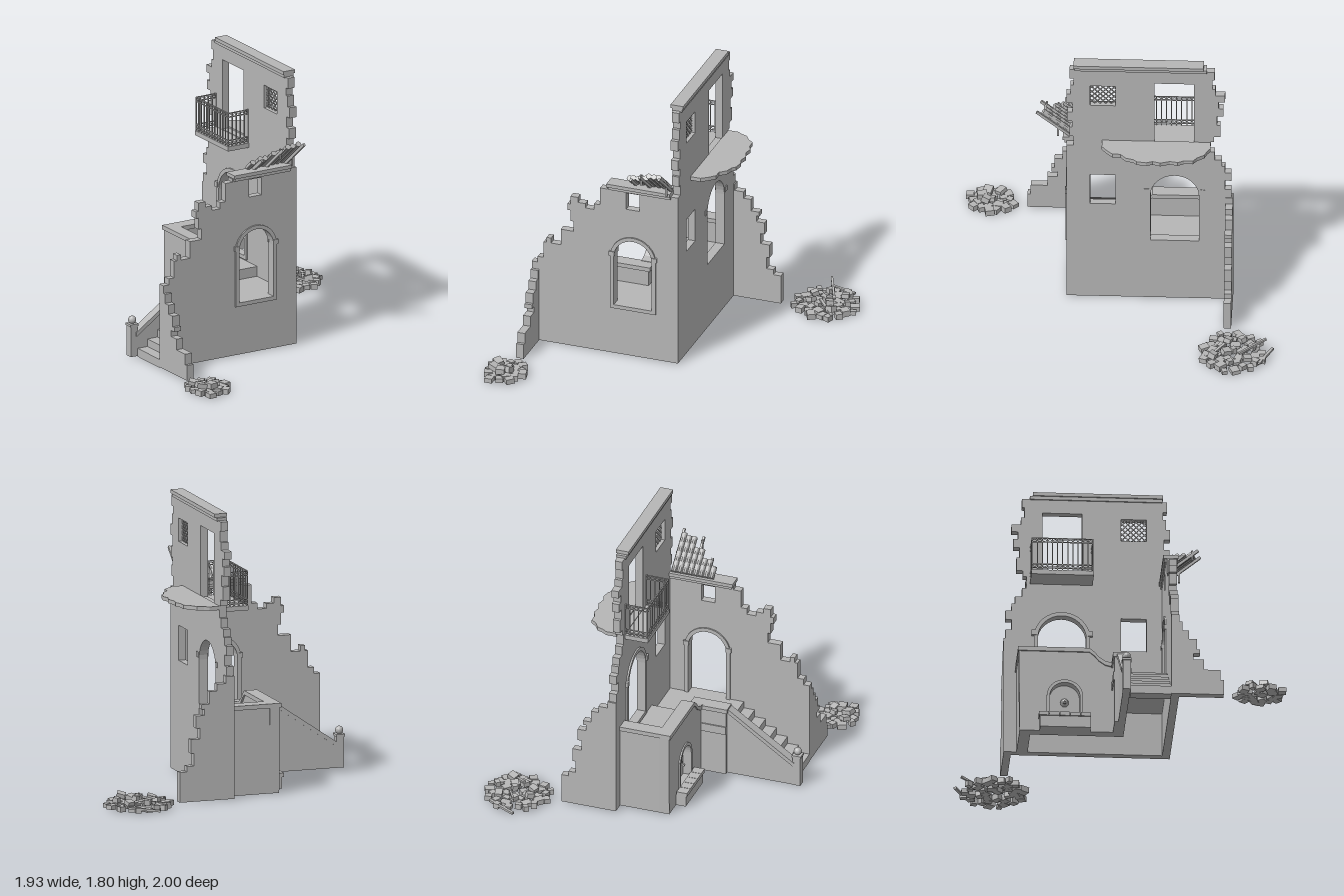
import * as THREE from 'three';

const stone = new THREE.MeshStandardMaterial({ color: 0xb6b6b6 });
stone.name = 'stone grey';
stone.flatShading = true;

export function createModel() {
  const model = new THREE.Group();
  model.name = 'ruinedHouse';
  let seed = 7;
  const rnd = () => (seed = (seed * 16807) % 2147483647) / 2147483647;

  const add = (geo, name, parent = model) => {
    const m = new THREE.Mesh(geo, stone);
    m.name = name;
    parent.add(m);
    return m;
  };
  // box from its minimum and maximum corners
  const box = (name, x0, x1, y0, y1, z0, z1, parent) => {
    const m = add(new THREE.BoxGeometry(x1 - x0, y1 - y0, z1 - z0), name, parent);
    m.position.set((x0 + x1) / 2, (y0 + y1) / 2, (z0 + z1) / 2);
    return m;
  };
  // thin bar between two points
  const bar = (name, a, b, w, h, parent) => {
    const p = new THREE.Vector3(...a), q = new THREE.Vector3(...b);
    const m = add(new THREE.BoxGeometry(w, h, p.distanceTo(q)), name, parent);
    m.position.copy(p).add(q).multiplyScalar(0.5);
    m.lookAt(q);
    return m;
  };
  const poly = pts => new THREE.Shape(pts.map(p => new THREE.Vector2(p[0], p[1])));
  const rect = (a, b, c, d) => poly([[a, c], [b, c], [b, d], [a, d]]);
  const arch = (a, b, bottom, top) => {
    const r = (b - a) / 2, spring = top - r, pts = [[a, bottom], [b, bottom]];
    for (let i = 0; i <= 16; i++) {
      const t = Math.PI * i / 16;
      pts.push([(a + b) / 2 + r * Math.cos(t), spring + r * Math.sin(t)]);
    }
    return poly(pts);
  };
  const extrude = (shape, holes, depth) => {
    shape.holes = holes;
    return new THREE.ExtrudeGeometry(shape, { depth, bevelEnabled: false });
  };
  // walls facing z (shape in x, y) and walls facing x (shape in -z, y)
  const wallZ = (name, shape, holes, z0, z1) =>
    add(extrude(shape, holes, z1 - z0).translate(0, 0, z0), name);
  const wallX = (name, shape, holes, x0, x1) =>
    add(extrude(shape, holes, x1 - x0).rotateY(Math.PI / 2).translate(x0, 0, 0), name);
  const flip = pts => pts.map(([z, y]) => [-z, y]);

  // front wall with broken left slope
  const frontProfile = [[0.1, 0], [0.1, 1.17], [-0.34, 1.17], [-0.34, 1.15], [-0.39, 1.15], [-0.39, 1.03],
    [-0.43, 1.03], [-0.43, 0.99], [-0.49, 0.99], [-0.49, 1.02], [-0.54, 1.02], [-0.54, 1.055], [-0.59, 1.055],
    [-0.59, 1], [-0.61, 1], [-0.61, 0.955], [-0.59, 0.955], [-0.59, 0.88], [-0.57, 0.88], [-0.57, 0.81],
    [-0.655, 0.81], [-0.655, 0.70], [-0.72, 0.70], [-0.72, 0.735], [-0.75, 0.735], [-0.75, 0.70],
    [-0.77, 0.70], [-0.77, 0.59], [-0.81, 0.59], [-0.81, 0.55], [-0.85, 0.55], [-0.85, 0]];
  wallZ('frontWall', poly(frontProfile),
    [arch(-0.295, -0.04, 0.345, 0.812), rect(-0.215, -0.125, 1.03, 1.145)], 0.28, 0.33);
  for (const [z0, z1] of [[0.27, 0.28], [0.33, 0.34]]) {
    wallZ('frontArchTrim', arch(-0.32, -0.015, 0.32, 0.837), [arch(-0.295, -0.04, 0.345, 0.812)], z0, z1);
    for (const x of [-0.31, -0.025]) box('frontArchImpost', x - 0.018, x + 0.018, 0.69, 0.72, z0 - 0.005, z1 + 0.005);
  }
  box('frontCorniceLower', -0.33, 0.085, 1.155, 1.175, 0.27, 0.345);
  box('frontCorniceUpper', -0.34, 0.085, 1.175, 1.198, 0.26, 0.355);

  // tall side wall with broken edges on both ends
  const sideProfile = [[0.33, 0], [0.33, 1.17], [0.285, 1.17], [0.285, 1.24], [0.31, 1.24], [0.31, 1.31],
    [0.295, 1.31], [0.295, 1.36], [0.325, 1.36], [0.325, 1.43], [0.29, 1.43], [0.29, 1.5], [0.33, 1.5],
    [0.33, 1.57], [0.305, 1.57], [0.305, 1.64], [0.285, 1.64], [0.285, 1.69], [0.31, 1.69], [0.31, 1.76],
    [-0.605, 1.76], [-0.605, 1.7], [-0.59, 1.7], [-0.59, 1.63], [-0.61, 1.63], [-0.61, 1.58], [-0.67, 1.58],
    [-0.67, 1.53], [-0.63, 1.53], [-0.63, 1.48], [-0.66, 1.48], [-0.66, 1.42], [-0.62, 1.42], [-0.62, 1.35],
    [-0.64, 1.35], [-0.64, 1.26], [-0.6, 1.26], [-0.6, 1.22], [-0.575, 1.22], [-0.575, 1.14], [-0.605, 1.14],
    [-0.605, 1.08], [-0.65, 1.08], [-0.65, 1.03], [-0.67, 1.03], [-0.67, 0.98], [-0.71, 0.98], [-0.71, 0.92],
    [-0.67, 0.92], [-0.67, 0.85], [-0.71, 0.85], [-0.71, 0.79], [-0.69, 0.79], [-0.69, 0]];
  wallX('sideWall', poly(flip(sideProfile)), [arch(0.2, 0.505, 0.445, 0.95), rect(-0.18, -0.02, 0.72, 0.945),
    rect(-0.18, -0.02, 1.485, 1.635), rect(0.225, 0.475, 1.205, 1.665)], 0.084, 0.133);
  wallX('sideArchTrim', arch(0.175, 0.53, 0.42, 0.975), [arch(0.2, 0.505, 0.445, 0.95)], 0.074, 0.084);
  for (const z of [-0.175, -0.53]) box('sideArchImpost', 0.066, 0.138, 0.81, 0.845, z - 0.015, z + 0.015);
  box('topCorniceLower', 0.075, 0.142, 1.755, 1.777, -0.555, 0.28);
  box('topCorniceUpper', 0.066, 0.151, 1.777, 1.8, -0.535, 0.285);

  // diagonal lattice in the upper window
  const lattice = new THREE.Group();
  lattice.name = 'windowLattice';
  model.add(lattice);
  const W = 0.16, H = 0.15;
  for (let c = 0.03; c < W + H; c += 0.035) {
    const u0 = Math.max(0, c - H), u1 = Math.min(W, c);
    for (const s of [-1, 1]) {
      const z = u => 0.1 + s * (u - W / 2);
      bar('latticeBar', [0.108, 1.485 + c - u0, z(u0)], [0.108, 1.485 + c - u1, z(u1)], 0.006, 0.006, lattice);
    }
  }

  // stub walls running off the two broken corners
  wallZ('backStubWall', poly([[0.084, 0], [0.45, 0], [0.45, 0.195], [0.4, 0.195], [0.4, 0.23], [0.355, 0.23],
    [0.355, 0.31], [0.375, 0.31], [0.375, 0.4], [0.315, 0.4], [0.315, 0.47], [0.34, 0.47], [0.34, 0.55],
    [0.285, 0.55], [0.285, 0.59], [0.305, 0.59], [0.305, 0.62], [0.25, 0.62], [0.25, 0.7], [0.2, 0.7],
    [0.2, 0.745], [0.14, 0.745], [0.14, 0.79], [0.084, 0.79]]), [], -0.72, -0.673);
  wallX('frontStubWall', poly(flip([[0.3, 0], [0.61, 0], [0.61, 0.1], [0.59, 0.1], [0.59, 0.17], [0.485, 0.17],
    [0.485, 0.24], [0.42, 0.24], [0.42, 0.28], [0.46, 0.28], [0.46, 0.31], [0.44, 0.31], [0.44, 0.38],
    [0.39, 0.38], [0.39, 0.44], [0.35, 0.44], [0.35, 0.5], [0.3, 0.5]])), [], -0.85, -0.8);

  // broken floor slab on the outer side
  const slab = extrude(poly([[0.13, -0.105], [0.2, -0.105], [0.24, -0.075], [0.28, -0.035], [0.28, 0.015],
    [0.32, 0.05], [0.335, 0.1], [0.355, 0.12], [0.365, 0.18], [0.35, 0.22], [0.365, 0.27], [0.345, 0.33],
    [0.355, 0.38], [0.335, 0.42], [0.335, 0.475], [0.3, 0.5], [0.27, 0.545], [0.23, 0.56], [0.2, 0.58],
    [0.13, 0.58]]), [], 0.025);
  add(slab.rotateX(-Math.PI / 2).translate(0, 1.19, 0), 'brokenFloor');

  // inner balcony with an iron railing
  box('balconyFloor', -0.07, 0.085, 1.17, 1.2, -0.555, -0.16);
  const railing = new THREE.Group();
  railing.name = 'railing';
  model.add(railing);
  const rail = (x0, z0, x1, z1, n) => {
    for (const y of [1.215, 1.24, 1.395, 1.42]) bar('rail', [x0, y, z0], [x1, y, z1], 0.007, 0.006, railing);
    const step = Math.hypot(x1 - x0, z1 - z0) / n;
    for (let i = 0; i <= n; i++) {
      const x = x0 + (x1 - x0) * i / n, z = z0 + (z1 - z0) * i / n;
      box('baluster', x - 0.003, x + 0.003, 1.2, 1.42, z - 0.003, z + 0.003, railing);
      if (i === n) break;
      for (const s of [1, -1]) {
        const loop = add(new THREE.TorusGeometry(step * 0.45, 0.002, 4, 8, Math.PI), 'railLoop', railing);
        loop.position.set(x + (x1 - x0) / n / 2, s > 0 ? 1.397 : 1.238, z + (z1 - z0) / n / 2);
        loop.rotation.set(s > 0 ? 0 : Math.PI, x0 === x1 ? Math.PI / 2 : 0, 0);
      }
    }
  };
  rail(-0.065, -0.55, -0.065, -0.165, 12);
  rail(-0.065, -0.55, 0.083, -0.55, 5);
  rail(-0.065, -0.165, 0.083, -0.165, 5);

  // stairs, landing and raised terrace floor
  for (let i = 0; i < 6; i++) {
    const x = -0.85 + i * 0.0735, y = 0.05 * (i + 1);
    box('step', x, x + 0.078, y - 0.055, y, 0.02, 0.28);
  }
  box('landing', -0.41, 0.085, 0.29, 0.345, -0.06, 0.28);
  box('terraceFloor', -0.19, 0.085, 0.33, 0.41, -0.58, -0.06);

  // stair parapet, landing parapet and newel post
  wallZ('stairParapet', poly([[-0.86, 0], [-0.41, 0], [-0.41, 0.44], [-0.86, 0.13]]), [], -0.028, 0.018);
  wallZ('stairParapetCap', poly([[-0.86, 0.13], [-0.41, 0.44], [-0.41, 0.47], [-0.86, 0.16]]), [], -0.036, 0.026);
  box('landingParapet', -0.41, -0.18, 0, 0.45, -0.052, 0.018);
  box('landingParapetCap', -0.42, -0.17, 0.447, 0.475, -0.062, 0.026);
  box('newelPost', -0.9, -0.85, 0, 0.2, -0.03, 0.02);
  box('newelCap', -0.905, -0.845, 0.2, 0.215, -0.035, 0.025);
  add(new THREE.SphereGeometry(0.026, 14, 10), 'newelBall').position.set(-0.875, 0.238, -0.005);

  // terrace walls with a ramped cap and an arched niche
  const ramp = [[0.05, 0.45], [0.1, 0.462], [0.14, 0.49], [0.17, 0.525], [0.2, 0.55], [0.645, 0.55]];
  wallX('terraceWall', poly([[0.05, 0], [0.64, 0], ...ramp.slice().reverse()]),
    [arch(0.26, 0.45, 0.08, 0.335)], -0.245, -0.18);
  wallX('terraceWallCap', poly([...ramp, ...ramp.map(([u, y]) => [u, y + 0.028]).reverse()]), [], -0.255, -0.168);
  box('nicheBack', -0.2, -0.185, 0.07, 0.345, -0.46, -0.25);
  wallX('nicheTrim', arch(0.24, 0.47, 0.08, 0.355), [arch(0.26, 0.45, 0.08, 0.335)], -0.254, -0.245);
  add(new THREE.SphereGeometry(0.028, 10, 8), 'spoutBoss').position.set(-0.2, 0.215, -0.355);
  bar('spout', [-0.2, 0.21, -0.355], [-0.245, 0.2, -0.355], 0.014, 0.014);
  box('terraceBackWall', -0.245, 0.085, 0, 0.55, -0.64, -0.57);
  box('terraceBackCap', -0.255, 0.085, 0.55, 0.578, -0.65, -0.56);

  // basin below the niche
  box('basin', -0.31, -0.24, 0, 0.075, -0.515, -0.195);
  for (let i = 0; i < 5; i++) box('basinRim', -0.32, -0.25, 0.075, 0.1, -0.522 + i * 0.066, -0.459 + i * 0.066);

  // remains of the tiled eave, tilted upward
  const eave = new THREE.Group();
  eave.name = 'brokenEave';
  eave.position.set(0, 1.2, 0.28);
  eave.rotation.x = -0.69;
  model.add(eave);
  [0.08, 0.12, 0.12, 0.18, 0.18, 0.25, 0.25, 0.265].forEach((len, i) => {
    const x = -0.19 + i * 0.0355;
    box('tileBed', x - 0.018, x + 0.018, 0, 0.008, 0, len, eave);
    for (let z = 0; z < len; z += 0.065) {
      const l = Math.min(0.07, len - z);
      const tile = new THREE.CylinderGeometry(0.018, 0.015, l, 8, 1, false, Math.PI / 2, Math.PI);
      const m = add(tile.rotateX(Math.PI / 2).rotateZ(Math.PI), 'roofTile', eave);
      m.position.set(x, 0.008, z + l / 2);
      m.scale.y = -1;
      const cover = add(new THREE.CylinderGeometry(0.017, 0.017, l, 8).rotateX(Math.PI / 2), 'roofTileRidge', eave);
      cover.position.set(x, 0.008, z + l / 2);
    }
  });
  for (const [x, len] of [[-0.16, 0.14], [-0.065, 0.27], [0.075, 0.3]]) {
    box('rafter', x - 0.007, x + 0.007, -0.022, -0.004, -0.02, len, eave);
  }
  bar('eaveProp', [-0.065, 1.29, 0.46], [-0.065, 1.36, 0.46], 0.012, 0.012);
  bar('eaveProp', [0.075, 1.2, 0.385], [0.075, 1.29, 0.385], 0.012, 0.012);

  // scattered rubble heaps
  const heap = (name, cx, cz, rx, rz, n) => {
    const g = new THREE.Group();
    g.name = name;
    model.add(g);
    for (let i = 0; i < n; i++) {
      const a = i * 2.4, r = Math.sqrt((i + 0.5) / n), s = 0.032 + rnd() * 0.024;
      const h = 0.025 + rnd() * 0.014, upper = i % 3 === 0 && r < 0.75;
      const m = add(new THREE.BoxGeometry(s * 1.15, h, s), 'rubbleStone', g);
      m.position.set(cx + rx * r * Math.cos(a), h / 2 + (upper ? 0.034 : 0), cz + rz * r * Math.sin(a));
      m.rotation.set((rnd() - 0.5) * (upper ? 0.5 : 0.1), rnd() * 3, (rnd() - 0.5) * (upper ? 0.5 : 0.1));
    }
  };
  heap('backRubble', 0.73, -0.745, 0.215, 0.2, 46);
  heap('frontRubble', -0.83, 0.83, 0.125, 0.14, 26);
  box('rubbleStone', -0.92, -0.87, 0, 0.03, 0.95, 1);
  bar('fallenBeam', [0.675, 0.015, -0.99], [0.86, 0.03, -0.91], 0.018, 0.014);
  bar('fallenBeam', [0.69, 0.1, -0.95], [0.77, 0.04, -0.78], 0.014, 0.014);
  bar('fallenBeam', [0.71, 0.07, -0.69], [0.83, 0.03, -0.57], 0.018, 0.014);
  return model;
}
